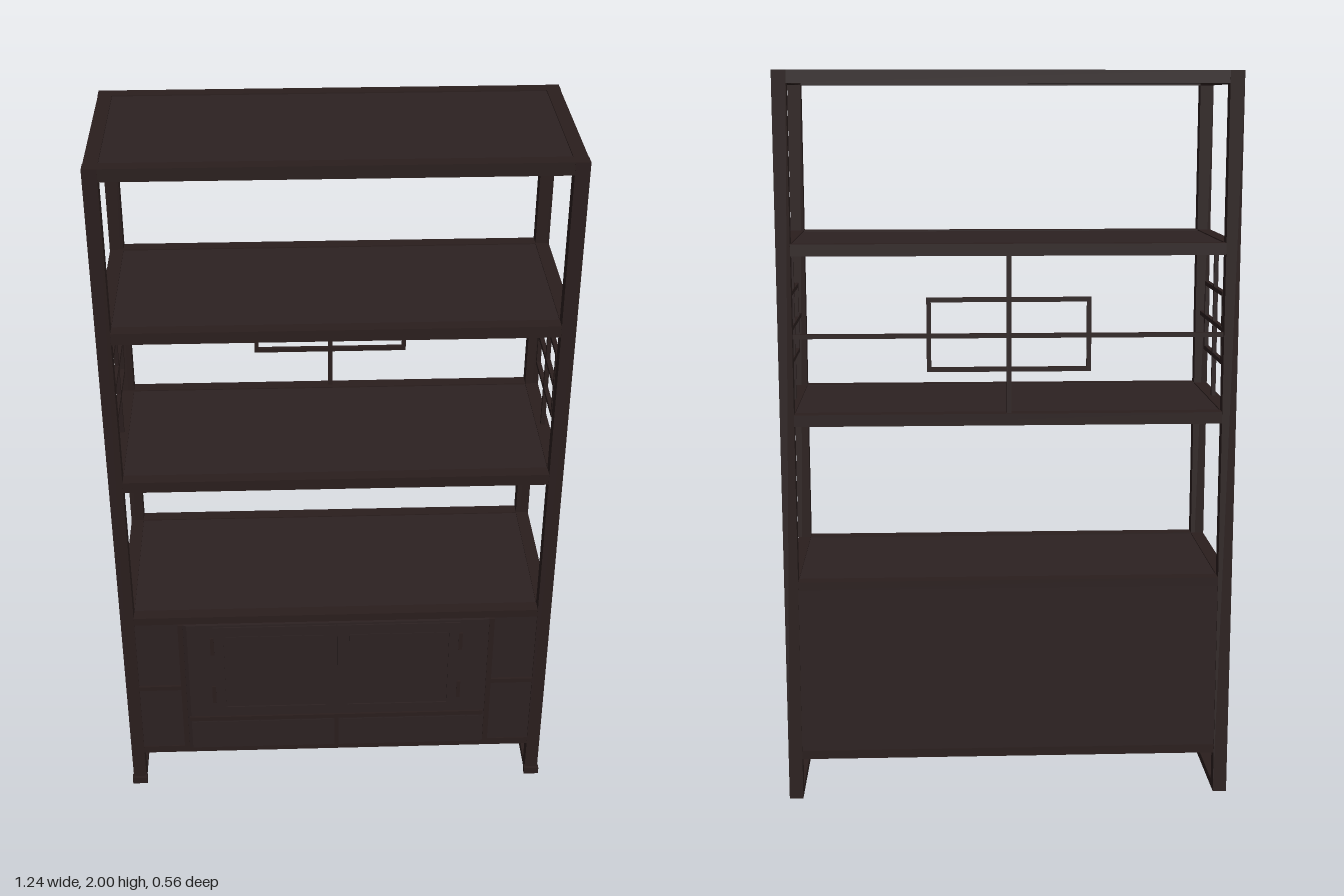
import * as THREE from 'three';

export function createModel() {
  const frame = new THREE.MeshStandardMaterial({ color: 0x2a1e1d });
  frame.name = 'dark frame wood';
  const panel = new THREE.MeshStandardMaterial({ color: 0x2c2121 });
  panel.name = 'dark panel wood';

  const model = new THREE.Group();
  model.name = 'displayCabinet';
  const body = new THREE.Group();
  body.name = 'body';
  body.position.z = -0.009;
  body.rotation.y = -0.0125; // stands very slightly askew
  model.add(body);

  // Box given by its min and max on each axis
  const box = (name, mat, [x0, x1], [y0, y1], [z0, z1], parent = body) => {
    const m = new THREE.Mesh(new THREE.BoxGeometry(x1 - x0, y1 - y0, z1 - z0), mat);
    m.position.set((x0 + x1) / 2, (y0 + y1) / 2, (z0 + z1) / 2);
    m.name = name;
    parent.add(m);
    return m;
  };

  const X = 0.616, Z = 0.265, P = 0.038; // half width, half depth, post size
  const xi = X - P, zi = Z - P;

  // Corner posts, side runners and small front toes
  for (const s of [-1, 1]) {
    const xs = s < 0 ? [-X, -xi] : [xi, X];
    box('frontPost', frame, xs, [0, 2], [zi, Z]);
    box('backPost', frame, xs, [0, 2], [-Z, -zi]);
    box('runner', frame, xs, [0, 0.022], [-zi, zi]);
    box('toe', frame, [xs[0] - 0.003, xs[1] + 0.003], [0, 0.022], [Z - 0.01, Z + 0.009]);
  }

  // Framed shelf: four rails around a slightly sunk board
  const shelf = (name, top, h) => {
    const g = new THREE.Group();
    g.name = name;
    body.add(g);
    const y = [top - h, top], e = 0.001;
    box('frontRail', frame, [-xi, xi], y, [zi, Z - e], g);
    box('backRail', frame, [-xi, xi], y, [-Z + e, -zi], g);
    box('leftRail', frame, [xi, X - e], y, [-zi, zi], g);
    box('rightRail', frame, [-X + e, -xi], y, [-zi, zi], g);
    box('board', panel, [-xi, xi], [top - h + 0.012, top - 0.003], [-zi, zi], g);
  };
  shelf('topShelf', 2, 0.034);
  shelf('upperShelf', 1.55, 0.032);
  shelf('middleShelf', 1.093, 0.032);
  shelf('cabinetTop', 0.628, 0.024);
  shelf('cabinetBottom', 0.14, 0.024);

  // Openwork lattice: a cross with a rectangle around its centre
  const lattice = (name, halfSpan, halfRect) => {
    const g = new THREE.Group();
    g.name = name;
    const t = 0.006, d = [-0.006, 0.006];
    box('crossUpright', frame, [-t, t], [1.09, 1.52], d, g);
    box('crossBar', frame, [-halfSpan, halfSpan], [1.303 - t, 1.303 + t], d, g);
    for (const y of [1.212, 1.4])
      box('rectangleBar', frame, [-halfRect, halfRect], [y - t, y + t], d, g);
    for (const x of [-halfRect, halfRect])
      box('rectangleUpright', frame, [x - t, x + t], [1.206, 1.406], d, g);
    body.add(g);
    return g;
  };
  lattice('backLattice', xi, 0.215).position.z = -0.246;
  for (const s of [-1, 1]) {
    const g = lattice('sideLattice', zi, 0.143);
    g.rotation.y = Math.PI / 2;
    g.position.x = s * 0.597;
  }

  // Cabinet walls
  const H = [0.14, 0.604];
  box('backPanel', panel, [-xi, xi], H, [-Z + 0.004, -Z + 0.02]);
  box('leftPanel', panel, [X - 0.02, X - 0.004], H, [-zi, zi]);
  box('rightPanel', panel, [-X + 0.004, -X + 0.02], H, [-zi, zi]);
  box('frontPanel', panel, [-xi, xi], H, [Z - 0.02, Z - 0.004]);

  // Raised centre front with bevelled ends
  const outline = new THREE.Shape([[-0.455, 0], [0.455, 0], [0.43, 0.012], [-0.43, 0.012]]
    .map(([x, y]) => new THREE.Vector2(x, -y)).reverse());
  const centre = new THREE.Mesh(new THREE.ExtrudeGeometry(outline,
    { depth: H[1] - H[0], bevelEnabled: false }), panel);
  centre.name = 'centreFront';
  centre.rotation.x = -Math.PI / 2;
  centre.position.set(0, H[0], Z - 0.004);
  body.add(centre);

  const F = Z + 0.008; // face of the centre front
  // Thin raised border around a door or drawer
  const border = (name, [x0, x1], [y0, y1], w, z) => {
    const g = new THREE.Group();
    g.name = name;
    body.add(g);
    const d = [z - 0.002, z + 0.004];
    box('bottomEdge', panel, [x0, x1], [y0, y0 + w], d, g);
    box('topEdge', panel, [x0, x1], [y1 - w, y1], d, g);
    box('nearEdge', panel, [x0, x0 + w], [y0 + w, y1 - w], d, g);
    box('farEdge', panel, [x1 - w, x1], [y0 + w, y1 - w], d, g);
  };

  for (const s of [-1, 1]) {
    const span = (a, b) => (s < 0 ? [-b, -a] : [a, b]);
    // Side compartments
    box('mullion', frame, span(0.44, 0.455), H, [Z - 0.01, Z + 0.006]);
    box('sideDivider', frame, span(0.455, xi), [0.363, 0.377], [Z - 0.01, Z + 0.004]);
    // Doors with a fielded panel and two hinges
    border('door', span(0.002, 0.355), [0.27, 0.598], 0.03, F);
    box('doorField', panel, span(0.038, 0.319), [0.306, 0.562], [F - 0.002, F + 0.002]);
    for (const y of [0.35, 0.53])
      box('hinge', frame, span(0.353, 0.364), [y - 0.03, y + 0.03], [F - 0.002, F + 0.006]);
    // Lower drawers
    box('drawerFront', panel, span(0.012, 0.425), [0.15, 0.242], [F - 0.002, F + 0.002]);
  }
  box('drawerRail', frame, [-0.435, 0.435], [0.25, 0.264], [F - 0.004, F + 0.006]);
  box('drawerDivider', frame, [-0.006, 0.006], [0.14, 0.25], [F - 0.004, F + 0.005]);

  return model;
}
